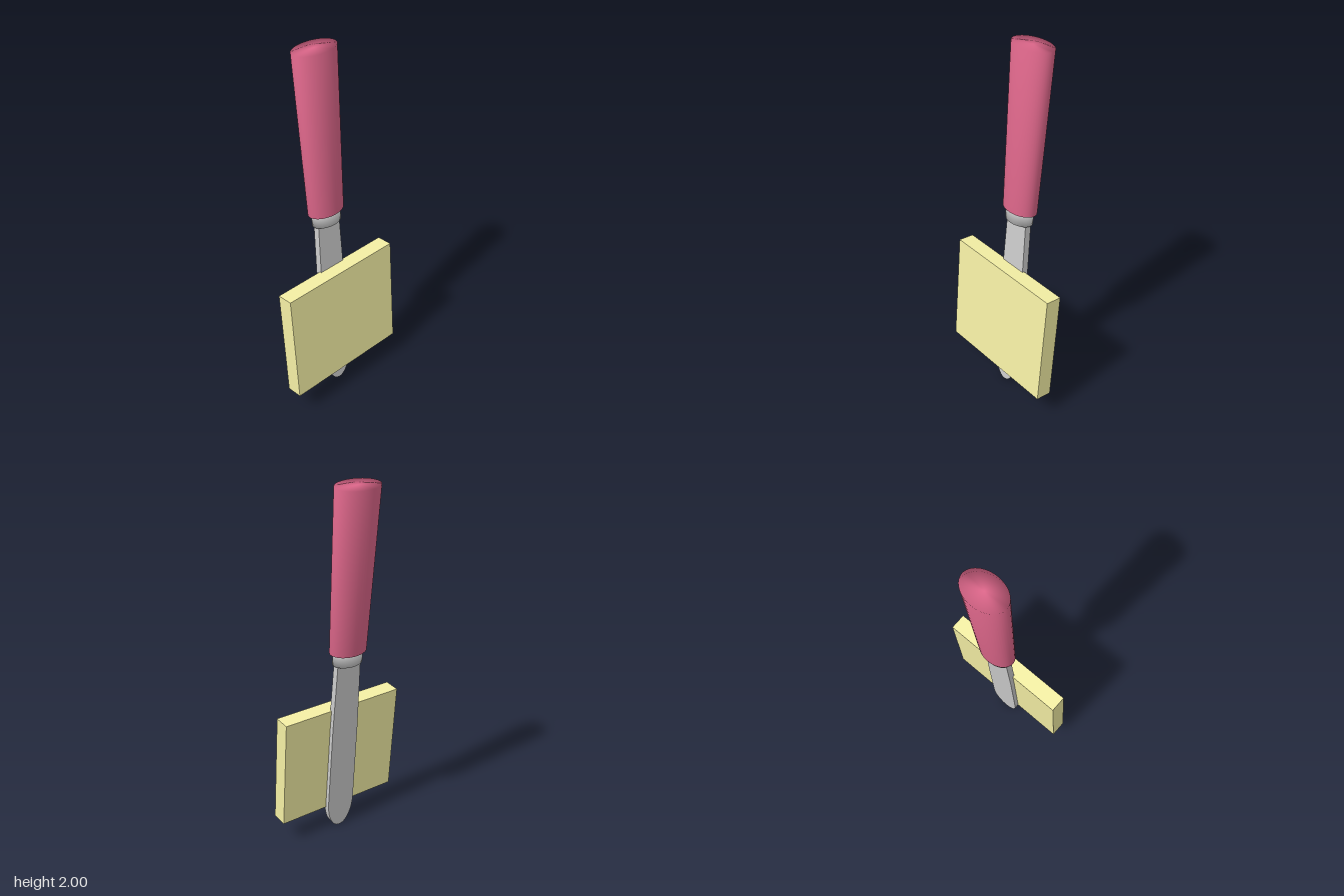
import * as THREE from 'three';

const TILT = 0.09;      // lean of the whole knife towards -x
const FLATTEN = 0.68;   // the handle is oval: narrower in x than in z

function addMesh(parent, name, geometry, color) {
  const mesh = new THREE.Mesh(geometry, new THREE.MeshStandardMaterial({ color }));
  mesh.name = name;
  parent.add(mesh);
  return mesh;
}

// Closed oval solid turned around the knife axis, profile as [radius, height]
function ovalTurned(profile) {
  const points = profile.map(([r, y]) => new THREE.Vector2(r, y));
  return new THREE.LatheGeometry(points, 48).scale(FLATTEN, 1, 1);
}

// Straight blade with slightly narrowing neck and elliptical tip
function bladeGeometry(thickness) {
  const shape = new THREE.Shape();
  shape.moveTo(0.071, 1.08);
  shape.lineTo(-0.071, 1.08);
  shape.lineTo(-0.081, 0.65);
  shape.lineTo(-0.083, 0.17);
  shape.absellipse(0, 0.17, 0.083, 0.17, Math.PI, Math.PI * 2, false);
  shape.lineTo(0.081, 0.65);
  shape.closePath();
  return new THREE.ExtrudeGeometry(shape, { depth: thickness, bevelEnabled: false, curveSegments: 24 })
    .translate(0, 0, -thickness / 2)
    .rotateY(-Math.PI / 2);
}

export function createModel() {
  const model = new THREE.Group();
  model.name = 'butterKnife';

  // Knife, built upright from its tip and then leaned
  const knife = new THREE.Group();
  knife.name = 'knife';
  knife.position.set(0.09, 0.002, 0);
  knife.rotation.z = TILT;
  model.add(knife);

  addMesh(knife, 'blade', bladeGeometry(0.036), 0xcccccc);
  addMesh(knife, 'ferrule', ovalTurned([[0, 1.048], [0.086, 1.048], [0.086, 1.13], [0, 1.13]]), 0xcccccc);
  addMesh(knife, 'handle', ovalTurned([[0, 1.116], [0.106, 1.116], [0.126, 1.998], [0, 1.998]]), 0xe0688c);

  // Slab of butter lying against the flat of the blade
  const butter = addMesh(model, 'butterSlab', new THREE.BoxGeometry(0.088, 0.63, 0.72), 0xf5f0a5);
  butter.position.set(0.1, 0.458, 0);
  butter.rotation.z = TILT;

  return model;
}
